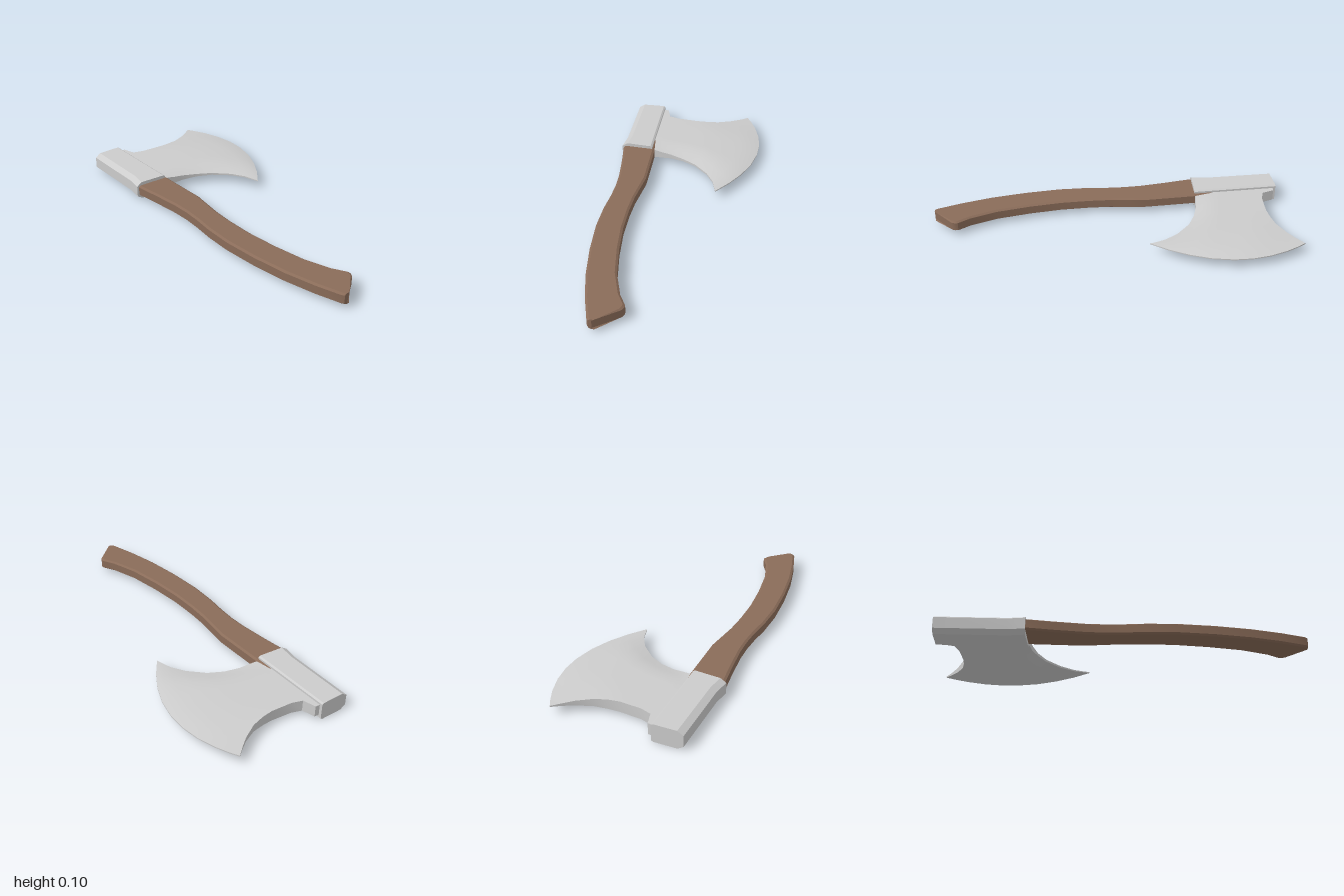
import * as THREE from 'three';
import { toCreasedNormals } from 'three/addons/utils/BufferGeometryUtils.js';

// Skin a row of matching rings; each ring runs along one side and back along the other.
function loft(rings, crease) {
  const n = rings[0].length, last = (rings.length - 1) * n, index = [];
  for (let r = 0; r < rings.length - 1; r++) {
    for (let i = 0; i < n; i++) {
      const a = r * n + i, b = r * n + (i + 1) % n;
      index.push(a, b, b + n, a, b + n, a + n);
    }
  }
  // End caps: strips joining the two sides of the first and last ring.
  for (let k = 0; k < n / 2 - 1; k++) {
    const m = n - 1 - k;
    index.push(m, m - 1, k, m - 1, k + 1, k);
    index.push(last + m, last + k, last + m - 1, last + m - 1, last + k, last + k + 1);
  }
  const g = new THREE.BufferGeometry();
  g.setAttribute('position', new THREE.Float32BufferAttribute(rings.flat(2), 3));
  g.setIndex(index);
  return toCreasedNormals(g, crease);
}

// Chamfered slab section: right and left edges at their own z, with chamfers [dx, dy].
function slabRing([xl, zl, xr, zr], y0, y1, [lx, ly], [rx, ry]) {
  return [
    [xr - rx, y0, zr], [xr, y0 + ry, zr], [xr, y1 - ry, zr], [xr - rx, y1, zr],
    [xl + lx, y1, zl], [xl, y1 - ly, zl], [xl, y0 + ly, zl], [xl + lx, y0, zl],
  ];
}

// Blade: columns from the socket out to the cutting edge.
// [back x, back z, front x, front z, bow, half thickness: back, middle, front]
const BLADE = [
  [-0.24, -0.97, -0.24, -0.5, 0, 0.032, 0.032, 0.026],
  [-0.2, -0.965, -0.2, -0.5, 0, 0.032, 0.032, 0.024],
  [-0.18, -0.895, -0.17, -0.492, 0, 0.032, 0.032, 0.02],
  [-0.12, -0.875, -0.11, -0.483, 0, 0.032, 0.032, 0.014],
  [0, -0.865, -0.03, -0.455, 0.02, 0.031, 0.032, 0.008],
  [0.06, -0.87, 0.05, -0.41, 0.04, 0.028, 0.032, 0.006],
  [0.13, -0.885, 0.13, -0.33, 0.06, 0.022, 0.029, 0.005],
  [0.21, -0.925, 0.175, -0.255, 0.1, 0.014, 0.022, 0.004],
  [0.26, -0.96, 0.188, -0.21, 0.135, 0.008, 0.014, 0.003],
  [0.31, -1, 0.2, -0.165, 0.15, 0.003, 0.003, 0.003],
];
const ROWS = [0, 0.06, 0.14, 0.26, 0.38, 0.5, 0.64, 0.77, 0.89, 1];

function bladeRing([xa, za, xb, zb, bow, ha, hm, hb]) {
  const lerp = THREE.MathUtils.lerp, mid = 0.052;
  const side = (sign) => ROWS.map((s) => {
    // Full in the middle, falling to a thin bevel along the front outline.
    const h = s < 0.26 ? lerp(ha, hm, s / 0.26) : s > 0.77 ? lerp(hm, hb, (s - 0.77) / 0.23) : hm;
    return [lerp(xa, xb, s) + 4 * s * (1 - s) * bow, mid + sign * h, lerp(za, zb, s)];
  });
  return [...side(1), ...side(-1).reverse()];
}

// Handle outline: left x, left z, right x, right z
const HANDLE = [
  [-0.385, -0.6, -0.21, -0.6], [-0.4, -0.5, -0.21, -0.5], [-0.382, -0.36, -0.208, -0.36],
  [-0.366, -0.2, -0.206, -0.2], [-0.364, -0.1, -0.22, -0.1],
  [-0.37, 0, -0.234, 0], [-0.384, 0.12, -0.241, 0.12], [-0.39, 0.28, -0.241, 0.28],
  [-0.377, 0.48, -0.225, 0.46], [-0.35, 0.68, -0.195, 0.65], [-0.312, 0.85, -0.147, 0.8],
  [-0.272, 0.985, -0.108, 0.87], [-0.262, 0.999, -0.108, 0.885], [-0.245, 1, -0.118, 0.905],
];

// Socket around the top of the handle, flaring a little at its mouth
const SOCKET = [
  [-0.392, -0.985, -0.225, -0.985], [-0.396, -0.6, -0.225, -0.6], [-0.41, -0.51, -0.225, -0.498],
];

export function createModel() {
  const metal = new THREE.MeshStandardMaterial({ color: 0xcccccc });
  const wood = new THREE.MeshStandardMaterial({ color: 0x8a6c59 });
  const axe = new THREE.Group();
  axe.name = 'axe';
  const add = (name, geometry, material) => {
    const mesh = new THREE.Mesh(geometry, material);
    mesh.name = name;
    axe.add(mesh);
  };
  add('handle', loft(HANDLE.map((s) => slabRing(s, 0.022, 0.084, [0.012, 0.008], [0.012, 0.008])), 0.5), wood);
  add('socket', loft(SOCKET.map((s) => slabRing(s, 0, 0.102, [0.032, 0.02], [0.01, 0.007])), 0.3), metal);
  add('blade', loft(BLADE.map(bladeRing), 0.4), metal);
  return axe;
}
